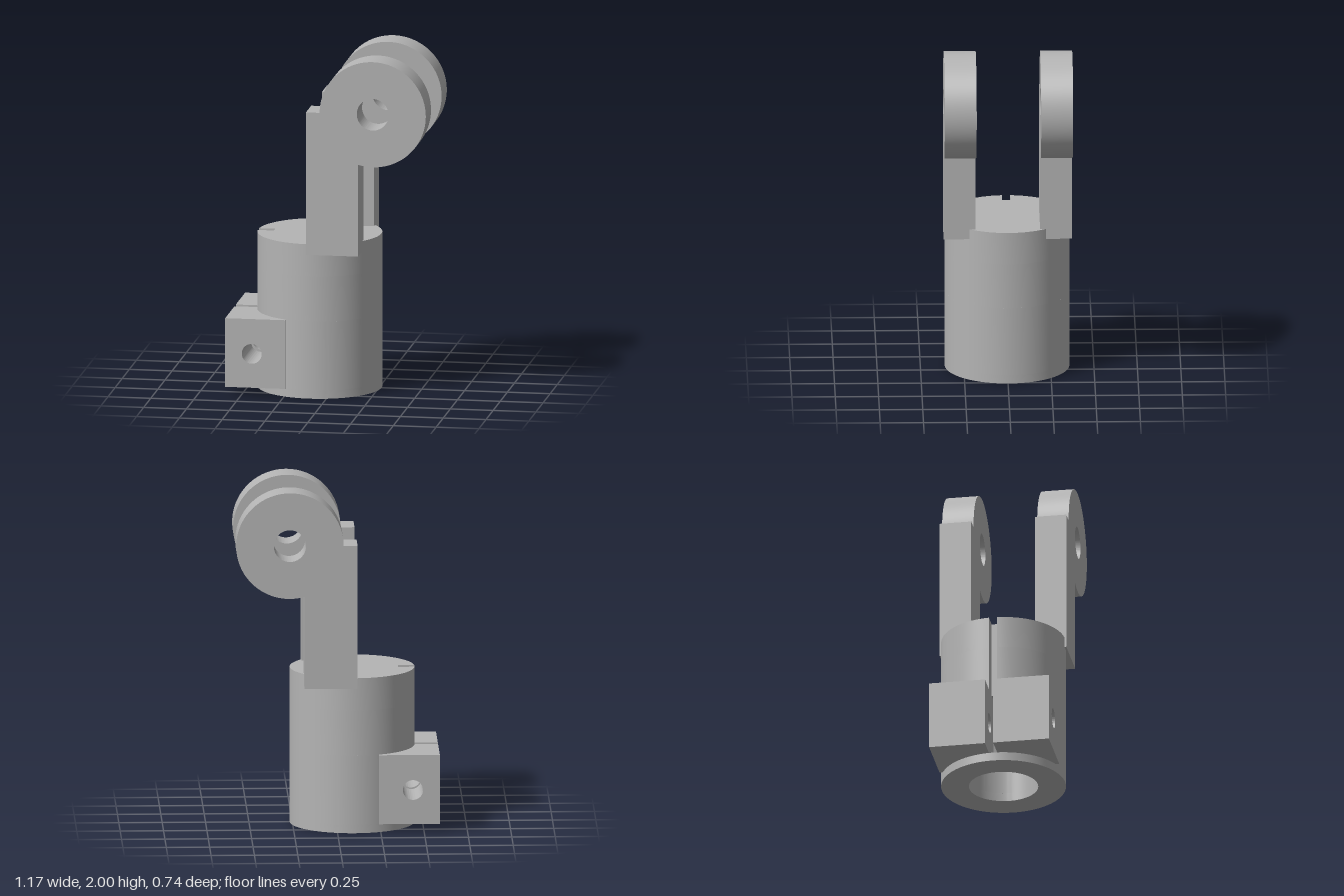
import * as THREE from 'three';
import { toCreasedNormals } from 'three/addons/utils/BufferGeometryUtils.js';

const CX = -0.095, R = 0.36, BORE = 0.2, S = 0.024; // barrel axis, radii, half slot width

export function createModel() {
  const model = new THREE.Group();
  model.name = 'clevisClamp';
  const metal = new THREE.MeshStandardMaterial({ color: 0xb4b4b4 });
  metal.name = 'grey metal';

  const extrude = (shape, depth) =>
    new THREE.ExtrudeGeometry(shape, { depth, bevelEnabled: false, curveSegments: 64 });
  const add = (name, geo) => {
    const mesh = new THREE.Mesh(toCreasedNormals(geo, 0.5), metal);
    mesh.name = name;
    model.add(mesh);
  };
  const hole = (x, y, r) => new THREE.Path().absarc(x, y, r, 0, Math.PI * 2, true);
  // horizontal slice of the barrel between two heights
  const slice = (name, shape, y0, y1) =>
    add(name, extrude(shape, y1 - y0).rotateX(-Math.PI / 2).translate(0, y0, 0));

  // Barrel foot: plain ring
  const ring = new THREE.Shape().absarc(CX, 0, R, 0, Math.PI * 2);
  ring.holes.push(hole(CX, 0, BORE));
  slice('barrelFoot', ring, 0, 0.05);

  // Clamp section: split ring, flat where the lugs join it
  const flat = -0.31;
  const b = Math.acos((CX - flat) / R), c = Math.asin(S / BORE);
  const split = new THREE.Shape();
  split.absarc(CX, 0, R, -Math.PI + b, Math.PI - b);
  split.lineTo(flat, S);
  split.absarc(CX, 0, BORE, Math.PI - c, -Math.PI + c, true);
  split.lineTo(flat, -S);
  slice('barrelClamp', split, 0.05, 0.455);

  // Upper barrel with a shallow slot; the bore ends below the top
  const slotted = () => {
    const a = Math.asin(S / R);
    const s = new THREE.Shape();
    s.absarc(CX, 0, R, -Math.PI + a, Math.PI - a);
    s.lineTo(-0.36, S);
    s.lineTo(-0.36, -S);
    return s;
  };
  const bored = slotted();
  bored.holes.push(hole(CX, 0, BORE));
  slice('barrelBody', bored, 0.455, 0.72);
  slice('barrelTop', slotted(), 0.72, 0.91);

  // Clamp lug with bolt hole
  const lug = new THREE.Shape();
  lug.moveTo(-0.59, 0.05);
  lug.lineTo(flat, 0.05);
  lug.lineTo(flat, 0.455);
  lug.lineTo(-0.59, 0.455);
  lug.holes.push(hole(-0.435, 0.25, 0.058));

  // Fork arm with a round eye
  const ex = 0.275, ey = 1.69, er = 0.31;
  const arm = new THREE.Shape();
  arm.moveTo(-0.115, 0.85);
  arm.lineTo(0.19, 0.85);
  arm.absarc(ex, ey, er, -Math.acos((0.19 - ex) / er), Math.PI);
  arm.lineTo(-0.115, ey);
  arm.holes.push(hole(ex, ey, 0.093));

  for (const side of [1, -1]) {
    const label = side > 0 ? 'front' : 'back';
    // place a slab between |z| = z0 and z1 on this side
    const slab = (shape, z0, z1) => extrude(shape, z1 - z0).translate(0, 0, side > 0 ? z0 : -z1);
    add(label + 'Lug', slab(lug, S, 0.35));
    add(label + 'LugRoot', new THREE.BoxGeometry(0.07, 0.405, 0.15).translate(-0.275, 0.2525, side * 0.275));
    add(label + 'ForkArm', slab(arm, 0.186, 0.37));
  }
  return model;
}
